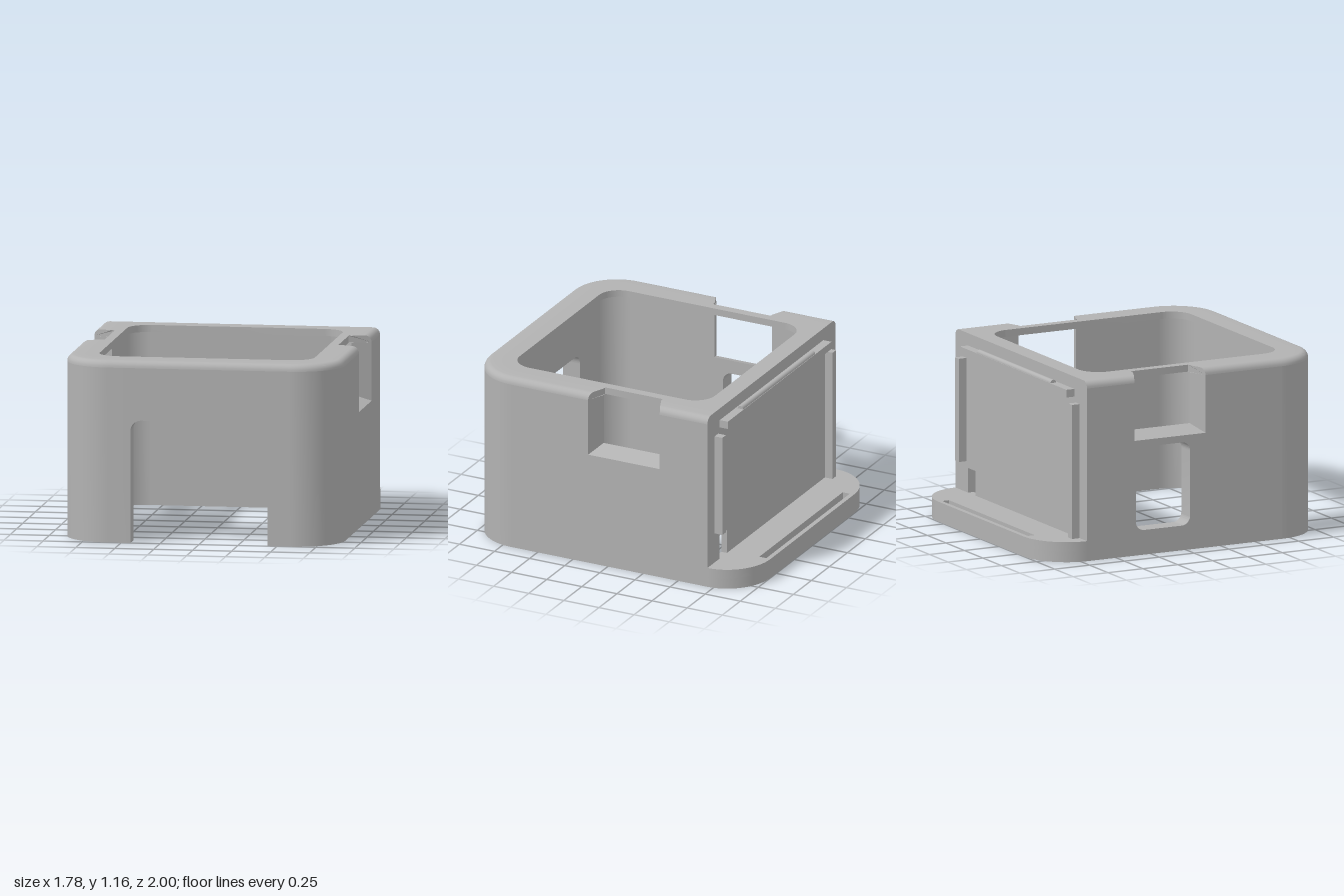
import * as THREE from 'three';
import { toCreasedNormals } from 'three/addons/utils/BufferGeometryUtils.js';

const W = 0.89, INNER = 0.77, FRONT = 1, BACK = -0.71, R = 0.31;
const ROOF = 1.165, EAVE = 1.12, FILLET = 0.045, WALL = 0.12;

export function createModel() {
  const group = new THREE.Group();
  const gray = new THREE.MeshStandardMaterial({ color: 0xb2b2b2 });
  gray.name = 'gray plastic';

  const add = (name, geo) => {
    const mesh = new THREE.Mesh(toCreasedNormals(geo, 0.5), gray);
    mesh.name = name;
    group.add(mesh);
  };
  const box = (name, x0, x1, y0, y1, z0, z1) =>
    add(name, new THREE.BoxGeometry(x1 - x0, y1 - y0, z1 - z0)
      .translate((x0 + x1) / 2, (y0 + y1) / 2, (z0 + z1) / 2));
  const extrude = (shape, depth) =>
    new THREE.ExtrudeGeometry(shape, { depth, bevelEnabled: false, curveSegments: 16 });
  // Plan shapes are drawn in (x, -z) and rise from y0 to y1
  const rise = (name, shape, y0, y1) =>
    add(name, extrude(shape, y1 - y0).rotateX(-Math.PI / 2).translate(0, y0, 0));
  const polygon = (pts) => new THREE.Shape(pts.map(([a, b]) => new THREE.Vector2(a, b)));
  const roundRect = (x0, x1, y0, y1, r) => {
    const p = new THREE.Path();
    p.moveTo(x0 + r, y0).lineTo(x1 - r, y0);
    p.absarc(x1 - r, y0 + r, r, -Math.PI / 2, 0);
    p.absarc(x1 - r, y1 - r, r, 0, Math.PI / 2);
    p.absarc(x0 + r, y1 - r, r, Math.PI / 2, Math.PI);
    p.absarc(x0 + r, y0 + r, r, Math.PI, Math.PI * 1.5);
    return p;
  };

  // Side walls with a notch that flares toward the outside
  const near = (a, b) => Math.abs(a - b) < 1e-4;
  for (const s of [1, -1]) {
    const shape = polygon([[BACK, 0], [R * -1 + FRONT, 0], [FRONT - R, EAVE], [0.09, EAVE],
      [0.09, 0.79], [-0.32, 0.79], [-0.32, EAVE], [BACK, EAVE]].map(([z, y]) => [-s * z, y]));
    if (s < 0) shape.holes.push(roundRect(-0.36, 0.03, 0.16, 0.7, 0.06));
    const geo = extrude(shape, WALL), p = geo.attributes.position;
    for (let i = 0; i < p.count; i++) {
      if (p.getZ(i) < WALL / 2) continue;
      const z = -s * p.getX(i);
      if (near(z, 0.09)) p.setX(i, -s * 0.14);
      else if (near(z, -0.32)) p.setX(i, s * 0.37);
      else continue;
      if (near(p.getY(i), 0.79)) p.setY(i, 0.745);
    }
    geo.rotateY(s * Math.PI / 2).translate(s * INNER, 0, 0);
    add(s > 0 ? 'leftSideWall' : 'rightSideWall', geo);
  }

  // Rounded front corners reaching to the door opening
  for (const s of [1, -1]) {
    const pts = [], cx = W - R, cz = FRONT - R;
    const arc = (r, from, to) => {
      for (let i = 0; i <= 20; i++) {
        const a = (from + (to - from) * i / 20) * Math.PI / 2;
        pts.push([s * (cx + r * Math.cos(a)), -(cz + r * Math.sin(a))]);
      }
    };
    arc(R, 0, 1);
    pts.push([s * 0.44, -FRONT], [s * 0.44, -FRONT + WALL]);
    arc(R - WALL, 1, 0);
    rise('frontCorner', polygon(pts), 0, EAVE);
  }

  // Wall above the door, with rounded door corners
  const lintel = new THREE.Shape();
  lintel.moveTo(-0.44, EAVE).lineTo(-0.44, 0.715);
  lintel.absarc(-0.37, 0.715, 0.07, Math.PI, Math.PI / 2, true);
  lintel.absarc(0.37, 0.715, 0.07, Math.PI / 2, 0, true);
  lintel.lineTo(0.44, EAVE);
  add('doorLintel', extrude(lintel, WALL).translate(0, 0, FRONT - WALL));

  // Thin back wall with a small cable hole
  const back = polygon([[-INNER, 0], [INNER, 0], [INNER, EAVE], [-INNER, EAVE]]);
  back.holes.push(polygon([[0.62, 0.13], [0.72, 0.13], [0.72, 0.29], [0.62, 0.29]]));
  add('backWall', extrude(back, 0.04).translate(0, 0, BACK));

  // Concave fillets in the inner back corners
  for (const s of [1, -1]) {
    const pts = [[s * INNER, 0.67]], r = 0.19;
    for (let i = 0; i <= 16; i++) {
      const a = i / 16 * Math.PI / 2;
      pts.push([s * (INNER - r + r * Math.cos(a)), 0.67 - r + r * Math.sin(a)]);
    }
    rise('innerBackCorner', polygon(pts), s > 0 ? 0.29 : 0, EAVE);
  }

  // Rounded top edge: a profile of [inset, height] swept along stations
  const profile = [[0, EAVE]];
  for (let i = 0; i <= 6; i++) {
    const a = i / 6 * Math.PI / 2;
    profile.push([FILLET * (1 - Math.cos(a)), ROOF - FILLET + FILLET * Math.sin(a)]);
  }
  profile.shift();
  profile.push([0.12, ROOF], [0.14, ROOF], [0.14, EAVE], [0.12, EAVE]);
  const sweep = (name, stations) => {
    const n = profile.length, pos = [], idx = [], last = (stations.length - 1) * n;
    for (const at of stations) for (const [d, y] of profile) {
      const [x, z] = at(d);
      pos.push(x, y, z);
    }
    for (let i = 0; i < stations.length - 1; i++) for (let j = 0; j < n; j++) {
      const k = (j + 1) % n, a = i * n + j, b = i * n + k;
      idx.push(a, b, b + n, a, b + n, a + n);
    }
    for (let j = 1; j < n - 1; j++) idx.push(0, j + 1, j, last, last + j, last + j + 1);
    const geo = new THREE.BufferGeometry();
    geo.setAttribute('position', new THREE.Float32BufferAttribute(pos, 3));
    geo.setIndex(idx);
    geo.computeVertexNormals();
    add(name, geo);
  };
  const flare = (d) => 0.05 * Math.min(d / WALL, 1);
  const frontCut = (s) => (d) => [s * (W - d), 0.14 - flare(d)];
  const backCut = (s) => (d) => [s * (W - d), -0.37 + flare(d)];
  const backEnd = (s) => (d) => [s * (W - d), BACK];
  const path = [frontCut(1)];
  for (const s of [1, -1]) for (let i = 0; i <= 20; i++) {
    const a = (s > 0 ? i : 20 - i) / 20 * Math.PI / 2;
    path.push((d) => [s * (W - R + (R - d) * Math.cos(a)), FRONT - R + (R - d) * Math.sin(a)]);
  }
  path.push(frontCut(-1));
  sweep('frontTopEdge', path);
  sweep('leftBackTopEdge', [backEnd(1), backCut(1)]);
  sweep('rightBackTopEdge', [backCut(-1), backEnd(-1)]);

  // Top lip around the rounded opening
  const lip = new THREE.Shape();
  lip.moveTo(-0.75, -BACK).lineTo(-0.75, -0.69);
  lip.absarc(-0.58, -0.69, 0.17, Math.PI, Math.PI * 1.5);
  lip.absarc(0.58, -0.69, 0.17, -Math.PI / 2, 0);
  lip.lineTo(0.75, -BACK);
  lip.holes.push(roundRect(-0.69, 0.69, -0.8, 0.59, 0.14));
  rise('topLip', lip, EAVE, ROOF);

  // Rear foot with a blind slot
  const foot = () => {
    const f = new THREE.Shape();
    f.moveTo(-W, -BACK).lineTo(W, -BACK);
    f.absellipse(0.58, 0.71, R, 0.29, 0, Math.PI / 2);
    f.absellipse(-0.58, 0.71, R, 0.29, Math.PI / 2, Math.PI);
    return f;
  };
  rise('rearFootBase', foot(), 0, 0.07);
  const slotted = foot();
  slotted.holes.push(polygon([[-0.58, 0.92], [0.58, 0.92], [0.58, 0.97], [-0.58, 0.97]]));
  rise('rearFootTop', slotted, 0.07, 0.13);

  // Rails on the back wall
  box('leftRail', 0.74, 0.79, 0.33, 1.0, -0.765, BACK);
  box('rightRail', -0.79, -0.74, 0.13, 1.0, -0.765, BACK);
  box('topRail', -0.72, 0.72, 1.035, 1.085, -0.768, BACK);
  add('snapRidge', new THREE.CylinderGeometry(0.02, 0.02, 1, 16)
    .rotateZ(Math.PI / 2).translate(0, 1.085, -0.745));

  return group;
}
